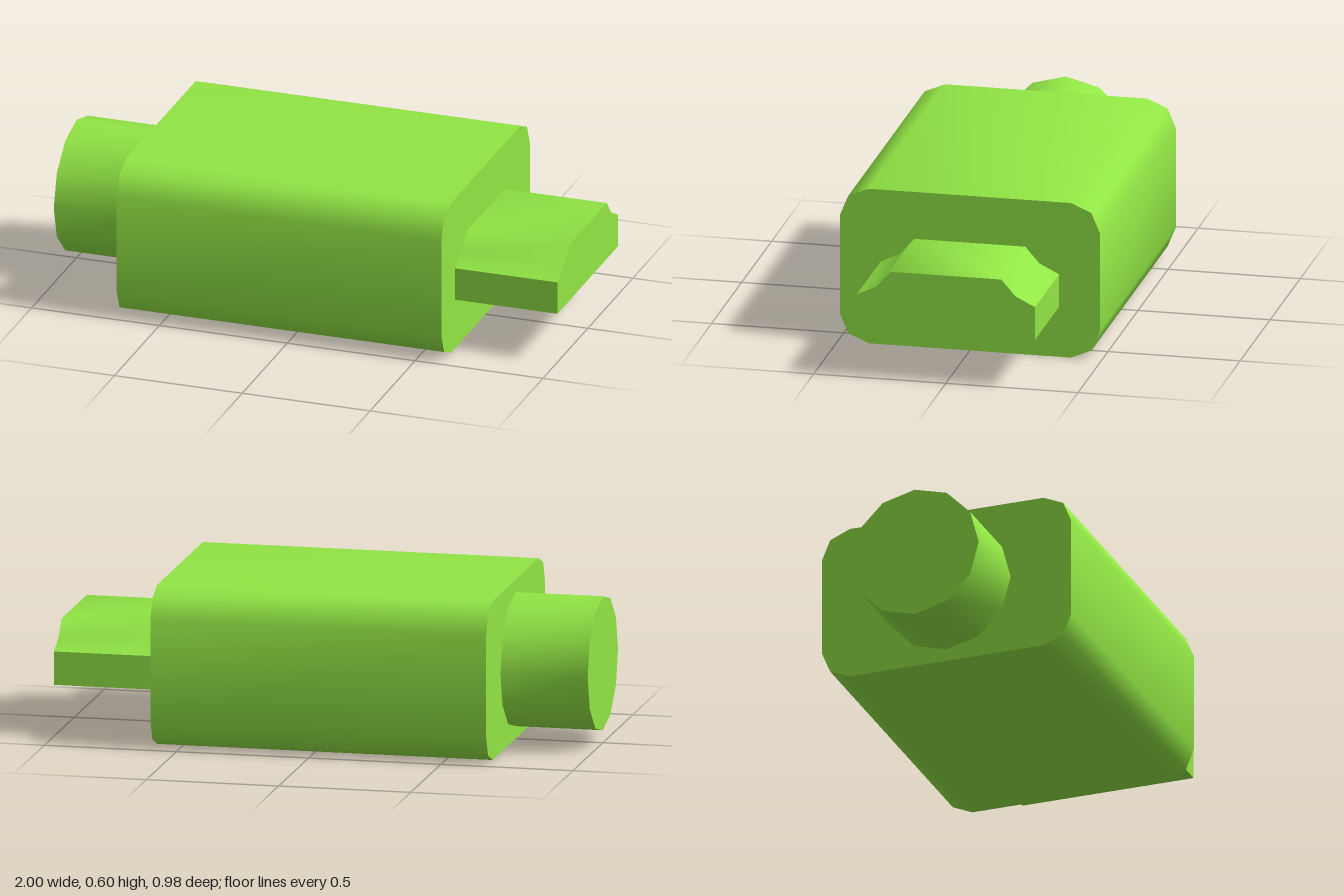
import * as THREE from 'three';
import { toCreasedNormals } from 'three/addons/utils/BufferGeometryUtils.js';

const MID = 0.3; // height of the long axis

// Extrudes a (z, y) outline along x, smoothing its gentle corners
function prism(name, outline, x0, x1, material) {
  const shape = new THREE.Shape(outline.map(([z, y]) => new THREE.Vector2(z, y)));
  const geometry = new THREE.ExtrudeGeometry(shape, { depth: x1 - x0, bevelEnabled: false });
  geometry.rotateY(Math.PI / 2);
  geometry.translate(x0, 0, 0);
  const mesh = new THREE.Mesh(toCreasedNormals(geometry, 0.9), material);
  mesh.name = name;
  return mesh;
}

// Completes a right half, listed from bottom to top, with its mirror image
const mirrored = (half) => [...half, ...half.map(([z, y]) => [-z, y]).reverse()];

export function createModel() {
  const group = new THREE.Group();
  group.name = 'connector';
  const green = new THREE.MeshStandardMaterial({ color: 0x92e645 });
  green.name = 'bright lime green';

  // Housing with two-step rounded corners
  const corner = [[0.492, 0.19], [0.46, 0.267], [0.383, 0.3]];
  const housing = mirrored([
    ...corner.map(([z, y]) => [z, MID - y]).reverse(),
    ...corner.map(([z, y]) => [z, MID + y]),
  ]);
  group.add(prism('housing', housing, -0.67, 0.6, green));

  // Plug with stepped shoulders
  const plug = mirrored([[0.338, 0.194], [0.338, 0.32], [0.263, 0.357], [0.21, 0.418]]);
  group.add(prism('plug', plug, 0.6, 1, green));

  // Twelve-sided cable stub
  const cable = Array.from({ length: 12 }, (_, i) => {
    const a = (i * Math.PI) / 6;
    return [0.253 * Math.cos(a), MID + 0.253 * Math.sin(a)];
  });
  group.add(prism('cableStub', cable, -1, -0.67, green));

  return group;
}
